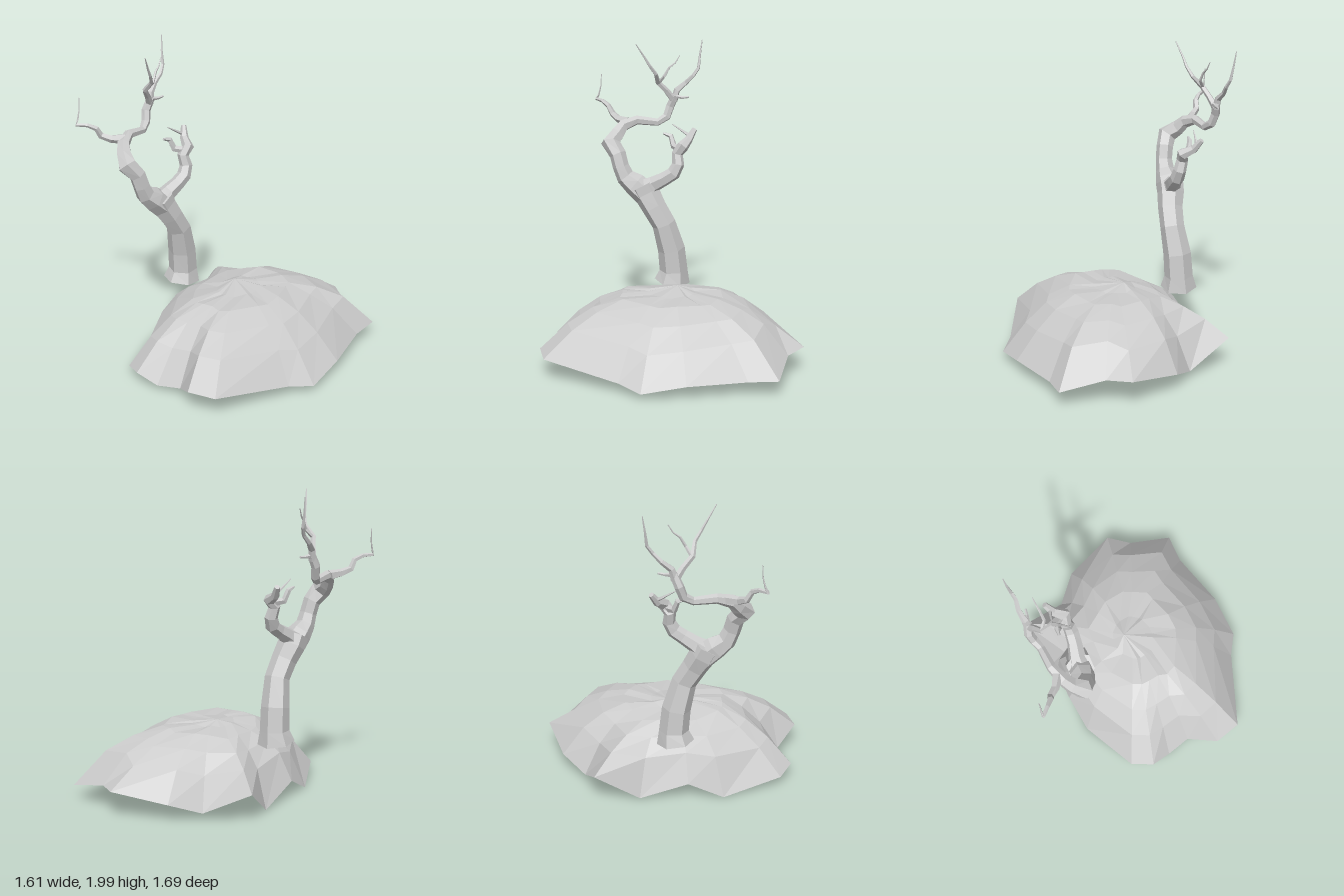
import * as THREE from 'three';

const V = (x, y, z) => new THREE.Vector3(x, y, z);
const mix = THREE.MathUtils.lerp;

function meshFrom(name, pos, index, material) {
  const g = new THREE.BufferGeometry();
  g.setAttribute('position', new THREE.Float32BufferAttribute(pos, 3));
  g.setIndex(index);
  g.computeVertexNormals();
  const m = new THREE.Mesh(g, material);
  m.name = name;
  return m;
}

// Faceted tapering limb through points [x, y, z, radius]
function limb(name, pts, sides, material) {
  const p = pts.map(a => V(a[0], a[1], a[2]));
  const pos = [], index = [], u = V(1, 0, 0);
  let prev = V(0, 1, 0);
  p.forEach((c, k) => {
    const a = p[Math.max(k - 1, 0)], b = p[Math.min(k + 1, p.length - 1)];
    const d = b.clone().sub(a).normalize();
    u.applyQuaternion(new THREE.Quaternion().setFromUnitVectors(prev, d));
    const v = d.clone().cross(u);
    prev = d;
    for (let i = 0; i < sides; i++) {
      const t = ((i + 0.5) / sides) * Math.PI * 2, r = pts[k][3];
      const q = c.clone().addScaledVector(u, r * Math.cos(t)).addScaledVector(v, r * Math.sin(t));
      pos.push(q.x, q.y, q.z);
      if (k) {
        const j = (i + 1) % sides, A = (k - 1) * sides, B = k * sides;
        index.push(A + i, A + j, B + i, A + j, B + j, B + i);
      }
    }
  });
  // End caps
  const last = (p.length - 1) * sides;
  for (let i = 1; i < sides - 1; i++) index.push(0, i + 1, i, last, last + i, last + i + 1);
  return meshFrom(name, pos, index, material);
}

// Mound: an irregular rim [x, y, z, slope] drawn inwards and upwards in rings
function mound(material) {
  const rim = [
    [0.32, 0.18, -0.85, 1.2], [0.45, 0.17, -0.74, 0.7], [0.73, 0.11, -0.67, 0.75], [0.72, 0.1, -0.48, 0.9],
    [0.8, 0.1, -0.1, 1.1], [0.8, 0.05, 0.18, 1.1], [0.7, 0.08, 0.32, 1], [0.48, 0.15, 0.8, 1],
    [0.3, 0.155, 0.84, 1], [0.14, 0.06, 0.71, 1], [-0.02, 0.04, 0.74, 1], [-0.16, 0.1, 0.77, 1],
    [-0.29, 0.07, 0.69, 1], [-0.44, 0.01, 0.31, 0.65], [-0.46, 0.12, 0.08, 0.6], [-0.44, 0.01, -0.23, 0.65],
    [-0.5, 0.2, -0.52, 0.8], [-0.19, 0.05, -0.59, 0.9], [-0.03, 0.12, -0.74, 0.9],
  ];
  const rings = [[1, 0], [0.81, 0.5], [0.63, 0.8], [0.43, 0.98], [0.2, 1]];
  const n = rim.length, cx = 0.08, pos = [], index = [];
  rings.forEach(([s, w], k) => {
    rim.forEach(([x, y, z, slope], i) => {
      // Inner rings relax towards an ellipse
      const a = Math.atan2(z / 0.76, (x - cx) / 0.66);
      const px = cx + s * mix(0.66 * Math.cos(a), x - cx, s);
      const pz = s * mix(0.76 * Math.sin(a), z, s);
      const top = px < 0 ? 0.47 + px * 0.2 : 0.47;
      const bump = k > 2 ? 0.006 * Math.sin(i * 2.3 + k * 1.7) : 0;
      pos.push(px, mix(y, top, w ** slope) + bump, pz);
      if (k) {
        const j = (i + 1) % n, A = (k - 1) * n, B = k * n;
        index.push(A + i, B + i, A + j, A + j, B + i, B + j);
      }
    });
  });
  // Peak and shallow hollow underside
  const B = (rings.length - 1) * n, U = rings.length * n, peak = U + n, hollow = peak + 1;
  rim.forEach(([x, , z]) => pos.push(cx + (x - cx) * 0.6, 0.165, z * 0.6));
  pos.push(0.03, 0.495, -0.04, cx, 0.175, 0);
  for (let i = 0; i < n; i++) {
    const j = (i + 1) % n;
    index.push(B + i, peak, B + j, i, j, U + i, j, U + j, U + i, U + i, U + j, hollow);
  }
  return meshFrom('mound', pos, index, material);
}

export function createModel() {
  const model = new THREE.Group();
  model.name = 'deadTreeOnMound';
  const material = new THREE.MeshStandardMaterial({ color: 0xcccccc, flatShading: true });
  model.add(mound(material));

  const tree = new THREE.Group();
  tree.name = 'tree';
  model.add(tree);
  const add = (name, sides, ...pts) => tree.add(limb(name, pts, sides, material));

  // Trunk, leaning forward as it rises
  add('trunk', 6, [-0.385, 0.39, 0, 0.12], [-0.38, 0.47, -0.01, 0.095], [-0.375, 0.62, 0.005, 0.092],
    [-0.36, 0.8, 0.055, 0.08], [-0.375, 0.91, 0.12, 0.082], [-0.4, 1.0, 0.17, 0.09], [-0.405, 1.06, 0.2, 0.092]);

  // Main limb sweeping forward, then back over the trunk
  add('frontLimb', 6, [-0.4, 0.99, 0.17, 0.085], [-0.415, 1.06, 0.25, 0.08], [-0.425, 1.11, 0.315, 0.062],
    [-0.43, 1.18, 0.345, 0.055], [-0.445, 1.26, 0.365, 0.056], [-0.485, 1.33, 0.415, 0.065], [-0.545, 1.38, 0.37, 0.05],
    [-0.58, 1.43, 0.33, 0.042], [-0.61, 1.46, 0.24, 0.032], [-0.61, 1.445, 0.1, 0.026],
    [-0.63, 1.48, 0.04, 0.03], [-0.645, 1.55, 0.015, 0.03], [-0.63, 1.63, -0.02, 0.026]);
  add('frontTwig', 5, [-0.6, 1.45, 0.3, 0.034], [-0.65, 1.46, 0.37, 0.026], [-0.7, 1.485, 0.41, 0.022],
    [-0.71, 1.54, 0.44, 0.018], [-0.75, 1.565, 0.48, 0.014], [-0.8, 1.57, 0.525, 0.012],
    [-0.8, 1.6, 0.51, 0.006], [-0.798, 1.66, 0.495, 0.004], [-0.8, 1.74, 0.49, 0.003]);

  // Upper twigs
  add('tallTwig', 5, [-0.635, 1.59, -0.01, 0.026], [-0.61, 1.66, 0.04, 0.02], [-0.585, 1.72, 0.095, 0.018],
    [-0.52, 1.79, 0.11, 0.013], [-0.495, 1.85, 0.15, 0.01], [-0.485, 1.91, 0.185, 0.007], [-0.46, 2.0, 0.24, 0.003]);
  add('sideTwig', 5, [-0.585, 1.72, 0.09, 0.013], [-0.55, 1.77, 0.055, 0.01], [-0.555, 1.83, 0.02, 0.008],
    [-0.56, 1.86, -0.02, 0.005], [-0.565, 1.91, -0.05, 0.003]);
  add('rearTwig', 5, [-0.635, 1.59, -0.01, 0.026], [-0.64, 1.66, -0.03, 0.022], [-0.65, 1.71, -0.09, 0.016],
    [-0.64, 1.76, -0.14, 0.013], [-0.65, 1.81, -0.175, 0.011], [-0.665, 1.9, -0.185, 0.007], [-0.675, 2.0, -0.2, 0.003]);
  add('upperStub', 5, [-0.63, 1.62, -0.02, 0.016], [-0.61, 1.615, -0.07, 0.01], [-0.6, 1.62, -0.11, 0.007]);

  // Shorter limb rising towards the back
  add('rearLimb', 6, [-0.4, 1.02, 0.19, 0.08], [-0.39, 1.07, 0.12, 0.055], [-0.37, 1.11, 0.05, 0.048],
    [-0.36, 1.15, -0.01, 0.047], [-0.365, 1.21, -0.04, 0.042], [-0.385, 1.28, -0.035, 0.038],
    [-0.37, 1.33, -0.07, 0.04], [-0.43, 1.365, -0.11, 0.028], [-0.465, 1.43, -0.15, 0.018]);
  add('hookTwig', 5, [-0.38, 1.31, -0.05, 0.028], [-0.44, 1.32, -0.01, 0.022], [-0.46, 1.385, 0.01, 0.018],
    [-0.47, 1.4, 0.06, 0.008]);
  add('backTwig', 5, [-0.44, 1.38, -0.13, 0.014], [-0.46, 1.41, -0.08, 0.009], [-0.48, 1.46, 0, 0.003]);
  return model;
}
